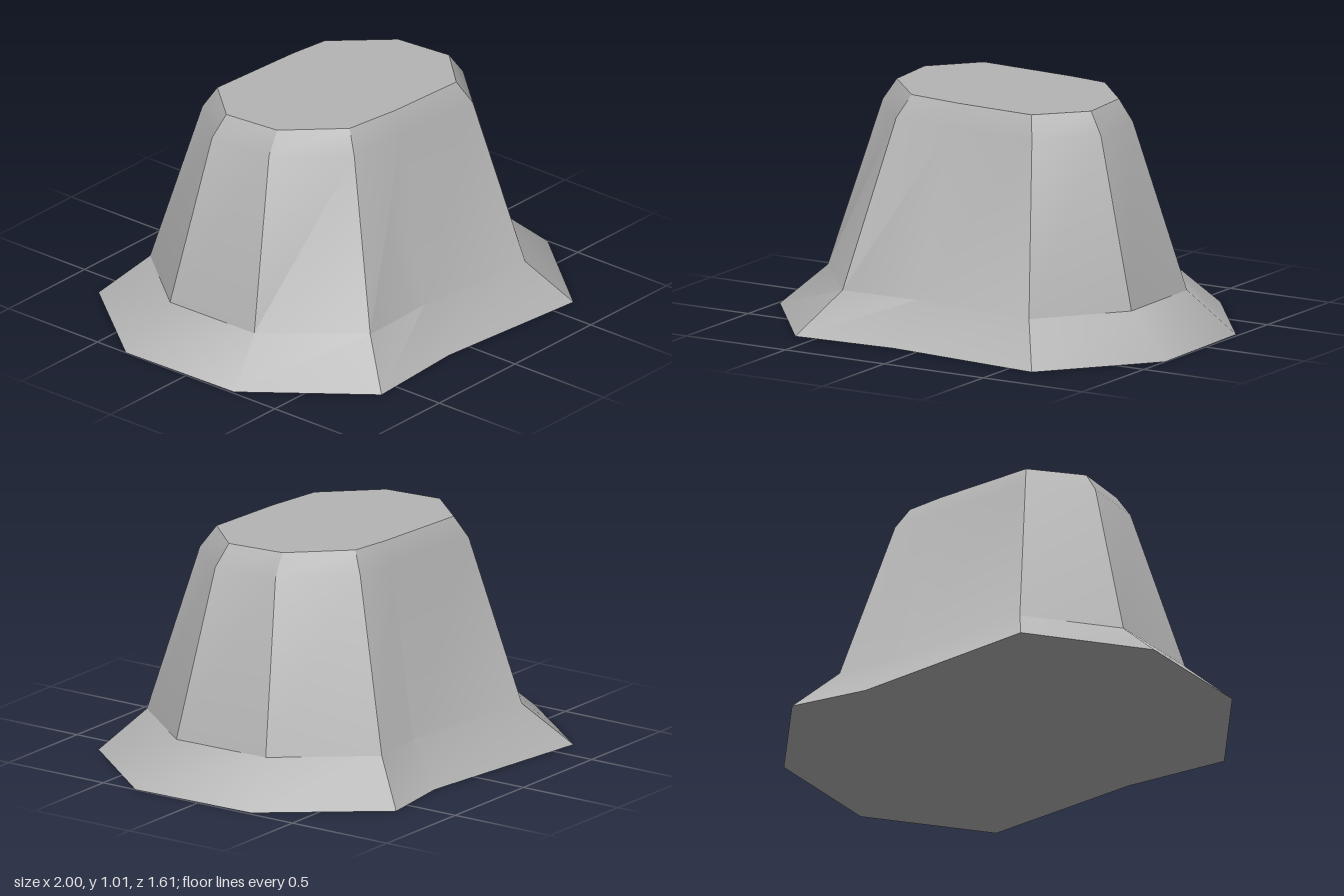
import * as THREE from 'three';
import { toCreasedNormals } from 'three/addons/utils/BufferGeometryUtils.js';

// Ten-sided cross-sections [x, z], all in the same order, from the ground up
const sections = [
  { y: 0, ring: [[0.62, 0.8], [-0.12, 0.73], [-0.6, 0.76], [-0.99, 0.26], [-1, -0.34],
    [-0.63, -0.81], [0.25, -0.71], [0.6, -0.76], [0.985, -0.27], [1, 0.33]] },
  { y: 0.185, ring: [[0.5, 0.63], [-0.1, 0.575], [-0.47, 0.585], [-0.785, 0.2], [-0.79, -0.27],
    [-0.5, -0.63], [0.2, -0.56], [0.47, -0.59], [0.78, -0.2], [0.79, 0.265]] },
  { y: 0.92, ring: [[0.39, 0.43], [-0.04, 0.395], [-0.33, 0.375], [-0.57, 0.1], [-0.595, -0.2],
    [-0.39, -0.43], [0.12, -0.39], [0.33, -0.375], [0.57, -0.1], [0.595, 0.2]] },
  { y: 1.015, ring: [[0.35, 0.37], [-0.03, 0.35], [-0.29, 0.315], [-0.505, 0.09], [-0.53, -0.175],
    [-0.355, -0.375], [0.11, -0.345], [0.29, -0.32], [0.505, -0.09], [0.53, 0.175]] },
];

function loft(levels) {
  const n = levels[0].ring.length;
  const positions = levels.flatMap(({ y, ring }) => ring.flatMap(([x, z]) => [x, y, z]));
  const index = [];
  // Side walls between neighbouring sections
  for (let k = 0; k < levels.length - 1; k++) {
    for (let i = 0; i < n; i++) {
      const j = (i + 1) % n;
      const a = k * n + i, b = k * n + j;
      index.push(b, a, a + n, b, a + n, b + n);
    }
  }
  // Flat caps fanned from a centre point
  const top = (levels.length - 1) * n;
  const bottomCentre = positions.length / 3;
  const topCentre = bottomCentre + 1;
  positions.push(0, levels[0].y, 0, 0, levels[levels.length - 1].y, 0);
  for (let i = 0; i < n; i++) {
    const j = (i + 1) % n;
    index.push(bottomCentre, i, j, topCentre, top + j, top + i);
  }
  const geometry = new THREE.BufferGeometry();
  geometry.setAttribute('position', new THREE.Float32BufferAttribute(positions, 3));
  geometry.setIndex(index);
  return toCreasedNormals(geometry, 0.5);
}

export function createModel() {
  const group = new THREE.Group();
  group.name = 'rockPedestal';
  const stone = new THREE.MeshStandardMaterial({ color: 0xb4b4b4 });
  stone.name = 'stoneGrey';

  // Flared foot, tapered walls and bevelled flat top
  const body = new THREE.Mesh(loft(sections), stone);
  body.name = 'pedestalBody';
  group.add(body);
  return group;
}
